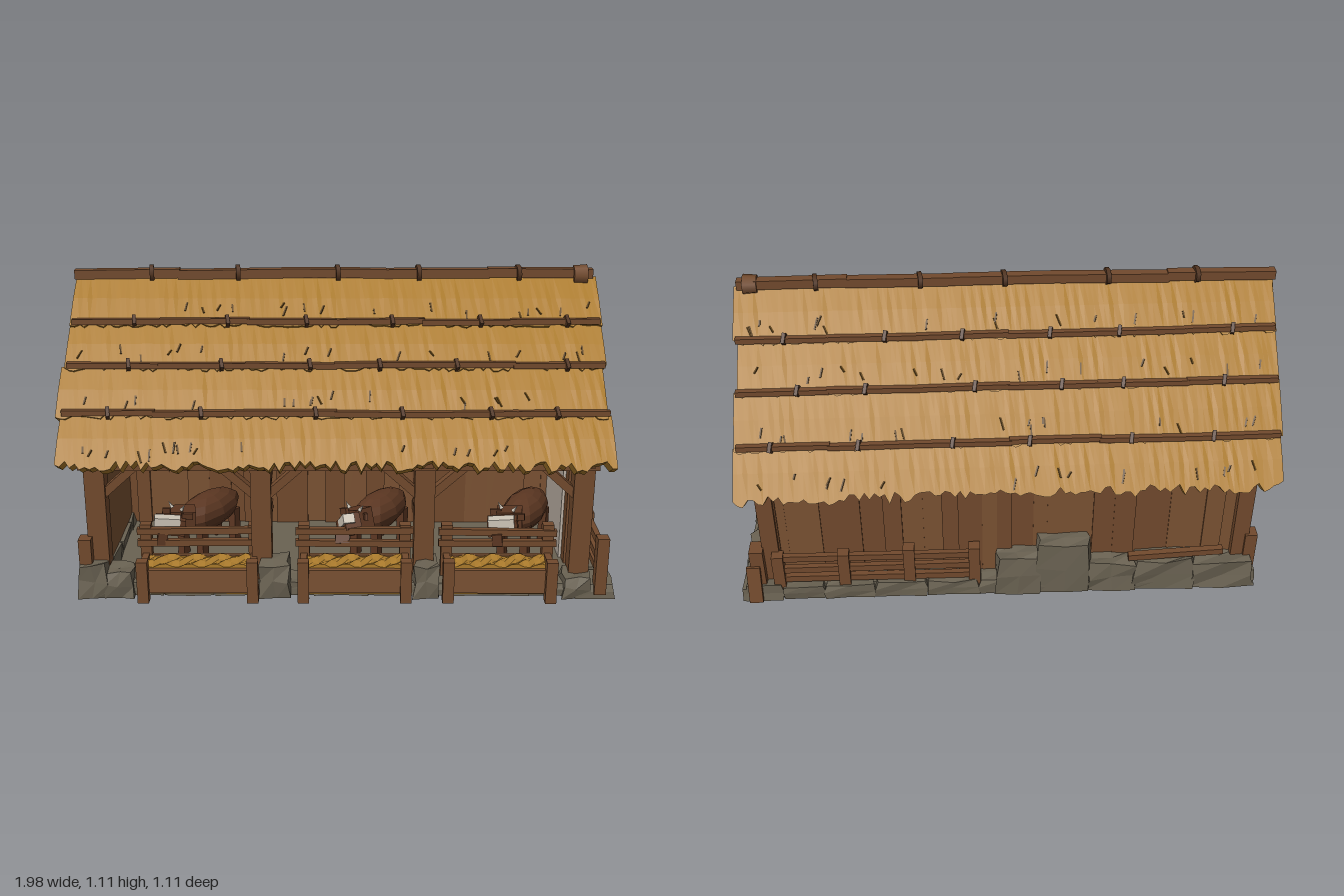
import * as THREE from 'three';

const mat = (name, color) => Object.assign(new THREE.MeshStandardMaterial({ color }), { name });
const wood = mat('timber', 0x724a2d), plank = mat('planks', 0x7b5233), dark = mat('dark timber', 0x50331f);
const thatch = mat('thatch', 0xab7b2c), slit = mat('thatch shadow straw', 0x5f4317);
const stone = mat('stone', 0x6a6252), plaster = mat('plaster', 0xbcb1a5);
const hide = mat('cow hide', 0x5c3722), white = mat('cow white', 0xcfc6b8);

let seed = 7;
const rnd = (a = 0, b = 1) => { seed = (seed * 16807) % 2147483647; return a + (b - a) * seed / 2147483647; };
const V = (x, y, z) => new THREE.Vector3(x, y, z);
const group = (root, name) => { const g = new THREE.Group(); g.name = name; root.add(g); return g; };
function put(g, name, geo, m, x = 0, y = 0, z = 0) {
  const mesh = new THREE.Mesh(geo, m);
  mesh.name = name;
  mesh.position.set(x, y, z);
  g.add(mesh);
  return mesh;
}
// box given by its extents
const box = (g, name, m, x0, x1, y0, y1, z0, z1) => put(g, name, new THREE.BoxGeometry(x1 - x0, y1 - y0, z1 - z0),
  m, (x0 + x1) / 2, (y0 + y1) / 2, (z0 + z1) / 2);
// square timber between two points
function beam(g, name, m, a, b, w, d = w) {
  const mesh = put(g, name, new THREE.BoxGeometry(w, d, a.distanceTo(b)), m);
  mesh.position.copy(a).lerp(b, 0.5);
  mesh.lookAt(b);
}
const flat = (geo) => { const f = geo.toNonIndexed(); f.computeVertexNormals(); return f; };
// rough block: narrower on top, every vertex nudged by a hash of its place
function rock(g, x0, x1, y0, y1, z0, z1, j = 0.007) {
  const w = x1 - x0, h = y1 - y0, d = z1 - z0, geo = new THREE.BoxGeometry(w, h, d, 2, 2, 2), p = geo.attributes.position;
  const k = rnd(1, 9), hash = (a, b, c, s) => Math.sin(a * 91 + b * 57 + c * 73 + k * s) * j;
  for (let i = 0; i < p.count; i++) {
    const x = p.getX(i), y = p.getY(i), z = p.getZ(i), top = y > 0 ? 0.92 : 1;
    p.setXYZ(i, x * top + hash(x, y, z, 1), y + (y < -h * 0.4 ? 0 : hash(x, y, z, 2)), z * top + hash(x, y, z, 3));
  }
  put(g, 'stone', flat(geo), stone, (x0 + x1) / 2, (y0 + y1) / 2, (z0 + z1) / 2);
}
// skin a list of equal rings and close both ends
function loft(rings) {
  const n = rings[0].length, pos = [], tri = (...v) => v.forEach((q) => pos.push(q.x, q.y, q.z));
  for (let i = 0; i + 1 < rings.length; i++) for (let j = 0; j < n; j++) {
    const a = rings[i][j], b = rings[i][(j + 1) % n], c = rings[i + 1][(j + 1) % n], d = rings[i + 1][j];
    tri(a, b, c, a, c, d);
  }
  const s = rings[0], e = rings[rings.length - 1];
  for (let j = 1; j + 1 < n; j++) tri(s[0], s[j + 1], s[j], e[0], e[j], e[j + 1]);
  const geo = new THREE.BufferGeometry().setAttribute('position', new THREE.Float32BufferAttribute(pos, 3));
  geo.computeVertexNormals();
  return geo;
}
// vertical boards along x with uneven widths
function boards(g, x0, x1, y0, y1, z) {
  for (let x = x0, e; x < x1 - 0.005; x = e) {
    e = Math.min(x1, x + rnd(0.05, 0.09));
    const o = z + rnd(-0.008, 0.008);
    box(g, 'board', rnd() < 0.3 ? wood : plank, x, e, y0, y1, o - 0.012, o + 0.012);
  }
}
// post-and-rail fence between two ground points
function fence(g, a, b, posts, h) {
  const at = (t, y) => a.clone().lerp(b, t).setY(y);
  for (let i = 0; i < posts; i++) beam(g, 'fencePost', wood, at(i / (posts - 1), 0.02), at(i / (posts - 1), h + rnd(-0.01, 0.015)), 0.042);
  for (const y of [h - 0.03, h - 0.08, h - 0.13]) beam(g, 'fenceRail', wood, at(-0.03, y + rnd(-0.008, 0.008)), at(1.03, y), 0.02, 0.026);
}
function roof(root) {
  const g = group(root, 'roof');
  const slopes = [[1, [[-0.02, 1.06], [0.135, 0.92], [0.265, 0.795], [0.395, 0.66], [0.525, 0.525]]],
    [-1, [[-0.02, 1.06], [-0.16, 0.92], [-0.285, 0.785], [-0.41, 0.635], [-0.525, 0.50]]]];
  for (const [s, pts] of slopes) for (let c = 0; c < 4; c++) {
    const U = V(0, pts[c][1], pts[c][0]), L = V(0, pts[c + 1][1], pts[c + 1][0]), len = U.distanceTo(L);
    const d = L.clone().sub(U).normalize(), n = V(0, d.z, -d.y).multiplyScalar(s), rings = [], N = 110;
    const at = (x, along, off) => L.clone().addScaledVector(d, along).addScaledVector(n, off).setX(x);
    const xa = -0.982 + rnd(-0.01, 0.01), xb = 0.945 + rnd(-0.012, 0.012), rag = c === 3 ? 0.021 : 0.013;
    // thatch course with a ragged lower edge
    for (let i = 0; i <= N; i++) {
      const x = xa + (xb - xa) * i / N, j = 0.01 + rnd(-rag, rag), o = rnd(-0.002, 0.002);
      const r = [at(x, -len, 0), at(x, -len / 2, 0.01 + o), at(x, j, 0.013), at(x, j - 0.012, -0.045), at(x, -len, -0.055)];
      rings.push(s > 0 ? r : r.reverse());
    }
    put(g, 'thatchCourse', loft(rings), thatch);
    for (let i = 0; i < 16; i++) {
      const x = rnd(-0.95, 0.92), t = rnd(-0.09, -0.04);
      beam(g, 'strawGap', slit, at(x, t, 0.0115), at(x + rnd(-0.015, 0.015), t + rnd(0.02, 0.045), 0.0125), 0.006, 0.005);
    }
    // binding poles with ties
    if (c < 3) for (let i = 0; i < 6; i++) {
      const x = -0.97 + i * 0.317, kx = x + rnd(0.1, 0.25);
      beam(g, 'bindingPole', wood, at(x, rnd(-0.004, 0.004), 0.016), at(x + 0.325, rnd(-0.004, 0.004), 0.016), 0.02);
      beam(g, 'poleTie', dark, at(kx, -0.019, 0.019), at(kx + 0.006, 0.019, 0.019), 0.013, 0.026);
    }
  }
  for (let i = 0; i < 5; i++) beam(g, 'ridgePole', wood, V(-0.985 + i * 0.383, 1.073 + rnd(-0.006, 0.006), -0.025), V(-0.595 + i * 0.383, 1.073, -0.025), 0.034);
  for (const x of [-0.7, -0.38, -0.01, 0.29, 0.66])
    put(g, 'ridgeTie', new THREE.CylinderGeometry(0.032, 0.032, 0.016, 7), dark, x, 1.072, -0.025).rotation.set(0, 0.15, Math.PI / 2);
  put(g, 'ridgeEnd', new THREE.CylinderGeometry(0.034, 0.038, 0.05, 7), wood, 0.89, 1.068, -0.02).rotation.z = Math.PI / 2;
}
function gable(root, side) {
  const g = group(root, side > 0 ? 'leftGable' : 'rightGable'), xf = side * 0.88, P = (y, z) => V(xf, y, z);
  const roofY = (q) => 1.0 - Math.abs(q + 0.02) * 1.02;
  // boards cut to the roof line
  for (let z = -0.44; z < 0.43; z += 0.08) {
    const z1 = Math.min(z + 0.082, 0.44), pts = [[z, 0.53], [z1, 0.53], [z1, roofY(z1)]];
    if (z < -0.02 && z1 > -0.02) pts.push([-0.02, 1.0]);
    pts.push([z, roofY(z)]);
    const geo = new THREE.ExtrudeGeometry(new THREE.Shape(pts.map(([a, b]) => new THREE.Vector2(-a, b))), { depth: 0.02, bevelEnabled: false });
    put(g, 'gableBoard', geo, rnd() < 0.3 ? wood : plank, side * 0.85 + rnd(-0.015, -0.005)).rotation.y = Math.PI / 2;
  }
  beam(g, 'tieBeam', wood, P(0.535, -0.47), P(0.535, 0.47), 0.06, 0.065);
  beam(g, 'rafter', wood, P(0.99, -0.02), P(0.53, 0.46), 0.04, 0.045);
  beam(g, 'rafter', wood, P(0.99, -0.02), P(0.52, -0.47), 0.04, 0.045);
  beam(g, 'collarBeam', wood, P(0.755, 0.2), P(0.79, -0.19), 0.035, 0.04);
  beam(g, 'kingPost', wood, P(0.99, -0.02), P(0.93, -0.02), 0.05, 0.03);
  for (const [a, b] of [[0.25, 0.11], [-0.26, -0.11]]) {
    beam(g, 'strut', wood, P(0.57, a), P(0.7, b), 0.03, 0.025);
    box(g, 'stud', wood, xf - 0.014, xf + 0.014, 0.56, 0.76, b - 0.012, b + 0.012);
  }
}
// window and door end
function doorEnd(root) {
  const g = group(root, 'houseEnd');
  box(g, 'plasterWall', plaster, 0.82, 0.85, 0.05, 0.52, -0.43, 0.27);
  for (const [a, b] of [[0.405, 0.45], [0.265, 0.32], [-0.1, -0.065], [-0.46, -0.395]]) box(g, 'wallPost', wood, 0.83, 0.89, 0.05, 0.53, a, b);
  beam(g, 'brace', wood, V(0.865, 0.5, 0.42), V(0.865, 0.4, 0.3), 0.03, 0.035);
  beam(g, 'brace', wood, V(0.86, 0.31, -0.09), V(0.86, 0.2, -0.17), 0.03, 0.035);
  // window
  box(g, 'windowSurround', wood, 0.85, 0.868, 0.275, 0.455, 0.03, 0.2);
  box(g, 'windowSurround', wood, 0.85, 0.866, 0.3, 0.43, 0.005, 0.232);
  box(g, 'windowShutter', plank, 0.866, 0.872, 0.315, 0.41, 0.065, 0.165);
  for (const z of [0.058, 0.112, 0.172]) box(g, 'windowBar', wood, 0.866, 0.885, 0.305, 0.42, z - 0.006, z + 0.006);
  for (const y of [0.31, 0.414]) box(g, 'windowBar', wood, 0.866, 0.886, y - 0.007, y + 0.007, 0.05, 0.18);
  // door
  for (let i = 0; i < 3; i++) box(g, 'doorBoard', plank, 0.85, 0.862 + (i % 2) * 0.003, 0.09, 0.43, -0.312 + i * 0.036, -0.276 + i * 0.036);
  for (const z of [-0.33, -0.185]) box(g, 'doorJamb', wood, 0.85, 0.885, 0.09, 0.43, z - 0.02, z + 0.02);
  box(g, 'doorLintel', wood, 0.85, 0.89, 0.42, 0.46, -0.35, -0.16);
  // bare stone showing through worn plaster and mud on the door
  for (const [x, y0, y1, z0, z1] of [[0.85, 0.28, 0.34, -0.155, -0.1], [0.85, 0.185, 0.23, 0.2, 0.265], [0.85, 0.18, 0.24, -0.39, -0.36],
    [0.863, 0.12, 0.165, -0.295, -0.225], [0.863, 0.35, 0.38, -0.29, -0.24]]) box(g, 'wornPatch', stone, x, x + 0.004, y0, y1, z0, z1);
  // stonework under the wall, step, pot
  rock(g, 0.84, 0.91, 0.04, 0.2, 0.07, 0.21, 0.004);
  rock(g, 0.84, 0.91, 0.04, 0.2, -0.06, 0.08, 0.004);
  rock(g, 0.86, 0.95, 0.04, 0.185, -0.135, -0.045);
  rock(g, 0.86, 0.95, 0.04, 0.185, -0.42, -0.32);
  rock(g, 0.85, 0.96, 0.04, 0.09, -0.33, -0.13, 0.003);
  const prof = [[0, 0], [0.035, 0], [0.05, 0.05], [0.042, 0.085], [0.047, 0.1], [0.036, 0.097]].map(([a, b]) => new THREE.Vector2(a, b));
  put(g, 'pot', flat(new THREE.LatheGeometry(prof, 12)), stone, 0.94, 0.04, 0.025);
  put(g, 'potGrain', new THREE.CylinderGeometry(0.025, 0.041, 0.02, 9), thatch, 0.94, 0.141, 0.025);
  fence(g, V(0.93, 0, 0.49), V(0.93, 0, 0.225), 2, 0.225);
  box(g, 'cornerPost', wood, 0.89, 0.94, 0.03, 0.225, -0.505, -0.44);
  beam(g, 'leaningBoard', wood, V(0.93, 0.01, -0.535), V(0.93, 0.16, -0.508), 0.05, 0.015);
}
function cow(root, x, turn) {
  const g = group(root, 'cow');
  g.position.set(x, 0.05, 0.17);
  g.rotation.y = turn;
  put(g, 'cowBody', flat(new THREE.SphereGeometry(1, 10, 8)), hide, 0, 0.15, 0).scale.set(0.075, 0.07, 0.17);
  for (const lx of [-0.045, 0.045]) for (const z of [-0.1, 0.1]) box(g, 'cowLeg', hide, lx - 0.015, lx + 0.015, 0, 0.13, z - 0.017, z + 0.017);
  beam(g, 'cowNeck', hide, V(0, 0.16, 0.11), V(0, 0.18, 0.2), 0.07, 0.085);
  beam(g, 'cowHead', hide, V(0, 0.205, 0.18), V(0, 0.145, 0.27), 0.06);
  beam(g, 'cowMuzzle', hide, V(0, 0.155, 0.257), V(0, 0.135, 0.287), 0.05, 0.045);
  beam(g, 'cowBlaze', white, V(0, 0.222, 0.203), V(0, 0.17, 0.281), 0.042, 0.034);
  for (const s of [-1, 1]) {
    beam(g, 'cowEar', hide, V(s * 0.025, 0.205, 0.185), V(s * 0.065, 0.2, 0.18), 0.012, 0.024);
    put(g, 'cowHorn', new THREE.ConeGeometry(0.008, 0.03, 5), white, s * 0.03, 0.235, 0.185).rotation.z = -s * 0.6;
  }
}
function stalls(root) {
  const g = group(root, 'stalls'), posts = [-0.865, -0.28, 0.3, 0.86];
  boards(g, -0.86, 0.84, 0.05, 0.6, -0.06);
  beam(g, 'backRail', wood, V(-0.86, 0.34, -0.04), V(0.84, 0.34, -0.04), 0.02, 0.03);
  for (const x of posts) {
    box(g, 'frontPost', wood, x - 0.036, x + 0.036, 0.04, 0.52, 0.385, 0.45);
    box(g, 'crossBeam', wood, x - 0.025, x + 0.025, 0.495, 0.53, -0.05, 0.485);
    for (const s of [-1, 1]) if (Math.abs(x + s * 0.12) < 0.86) beam(g, 'postBrace', wood, V(x + s * 0.02, 0.37, 0.42), V(x + s * 0.14, 0.48, 0.42), 0.035, 0.03);
  }
  for (const x of posts.slice(1, 3)) for (const y of [0.13, 0.2, 0.27]) box(g, 'partitionRail', wood, x - 0.012, x + 0.012, y - 0.02, y + 0.02, -0.05, 0.39);
  beam(g, 'eaveBeam', wood, V(-0.92, 0.5, 0.425), V(0.91, 0.5, 0.425), 0.06, 0.05);
  // feeding troughs filled with hay, rails above
  for (const [a, b] of [[-0.7, -0.31], [-0.13, 0.235], [0.385, 0.75]]) {
    box(g, 'troughFront', plank, a, b, 0.035, 0.12, 0.5, 0.518);
    box(g, 'troughBack', plank, a, b, 0.035, 0.13, 0.4, 0.415);
    box(g, 'troughBottom', plank, a, b, 0.03, 0.05, 0.4, 0.518);
    for (const x of [a, b]) {
      box(g, 'troughEnd', wood, x - 0.012, x + 0.012, 0.03, 0.14, 0.4, 0.525);
      box(g, 'troughPost', wood, x - 0.02, x + 0.02, 0, 0.16, 0.505, 0.54);
      box(g, 'railPost', wood, x - 0.02, x + 0.02, 0.04, 0.25, 0.385, 0.42);
    }
    for (const y of [0.18, 0.225]) beam(g, 'stallRail', wood, V(a - 0.03, y, 0.415), V(b + 0.03, y + rnd(-0.01, 0.01), 0.415), 0.02, 0.024);
    const hay = new THREE.BoxGeometry(b - a - 0.02, 0.06, 0.085, 16, 1, 3), p = hay.attributes.position;
    for (let i = 0; i < p.count; i++) if (p.getY(i) > 0) p.setY(i, 0.035 + 0.008 * Math.sin(p.getX(i) * 70 + p.getZ(i) * 90));
    put(g, 'hay', flat(hay), thatch, (a + b) / 2, 0.095, 0.458);
    box(g, 'fallenStraw', thatch, a + 0.02, b - 0.02, 0.012, 0.03, 0.47, 0.49);
  }
  [[-0.5, -0.55], [0.15, -0.55], [0.7, -0.5]].forEach(([x, t]) => cow(g, x, t));
}
function backAndFarEnd(root) {
  const g = group(root, 'backWall'), e = group(root, 'farEnd');
  boards(g, -0.87, 0.86, 0.04, 0.56, -0.44);
  for (const x of [-0.87, 0.865]) box(g, 'cornerPost', wood, x - 0.03, x + 0.03, 0.04, 0.54, -0.475, -0.41);
  fence(g, V(0.84, 0, -0.49), V(0.12, 0, -0.49), 4, 0.21);
  for (const [a, b, h] of [[-0.12, 0.04, 0.17], [-0.31, -0.11, 0.23], [-0.48, -0.3, 0.13], [-0.7, -0.47, 0.14], [-0.92, -0.69, 0.12]]) rock(g, a, b, 0, h, -0.525, -0.43);
  beam(g, 'leaningPole', wood, V(-0.45, 0.15, -0.5), V(-0.8, 0.17, -0.5), 0.025);
  box(e, 'stoneInfill', stone, -0.865, -0.845, 0.04, 0.53, -0.43, 0.42);
  box(e, 'stallLining', plank, -0.845, -0.835, 0.05, 0.53, -0.05, 0.4);
  for (const y of [0.14, 0.23, 0.32, 0.41, 0.48]) beam(e, 'wallLog', wood, V(-0.872, y, -0.45), V(-0.872, y + rnd(-0.012, 0.012), 0.44), 0.035, 0.034);
  for (const z of [-0.46, 0.46]) box(e, 'cornerStake', wood, -0.93, -0.885, 0.03, 0.22, z - 0.025, z + 0.025);
}
function base(root) {
  const g = group(root, 'foundation');
  box(g, 'floor', stone, -0.9, 0.93, 0, 0.05, -0.49, 0.455);
  // kerb stones on all four edges
  for (let x = -0.93, e; x < 0.93; x = e) {
    e = Math.min(0.97, x + rnd(0.12, 0.2));
    rock(g, x, e, 0, rnd(0.055, 0.07), -0.52, -0.43, 0.004);
    rock(g, x, e, 0, 0.05, 0.38, 0.48, 0.004);
  }
  for (let z = -0.52, e; z < 0.46; z = e) {
    e = Math.min(0.5, z + rnd(0.1, 0.2));
    rock(g, 0.84, 0.985, 0, rnd(0.052, 0.064), z, e, 0.004);
    rock(g, -0.93, -0.82, 0, rnd(0.06, 0.1), z, e, 0.005);
  }
  // larger stones at the posts
  for (const [a, b, h] of [[-0.935, -0.83, 0.13], [-0.84, -0.74, 0.1], [-0.29, -0.18, 0.13], [0.265, 0.355, 0.125], [0.8, 0.9, 0.08]]) rock(g, a, b, 0, h, 0.4, 0.505);
}
export function createModel() {
  const root = new THREE.Group();
  root.name = 'thatchedCowshed';
  [base, stalls, doorEnd, backAndFarEnd, roof].forEach((build) => build(root));
  for (const side of [1, -1]) gable(root, side);
  return root;
}
